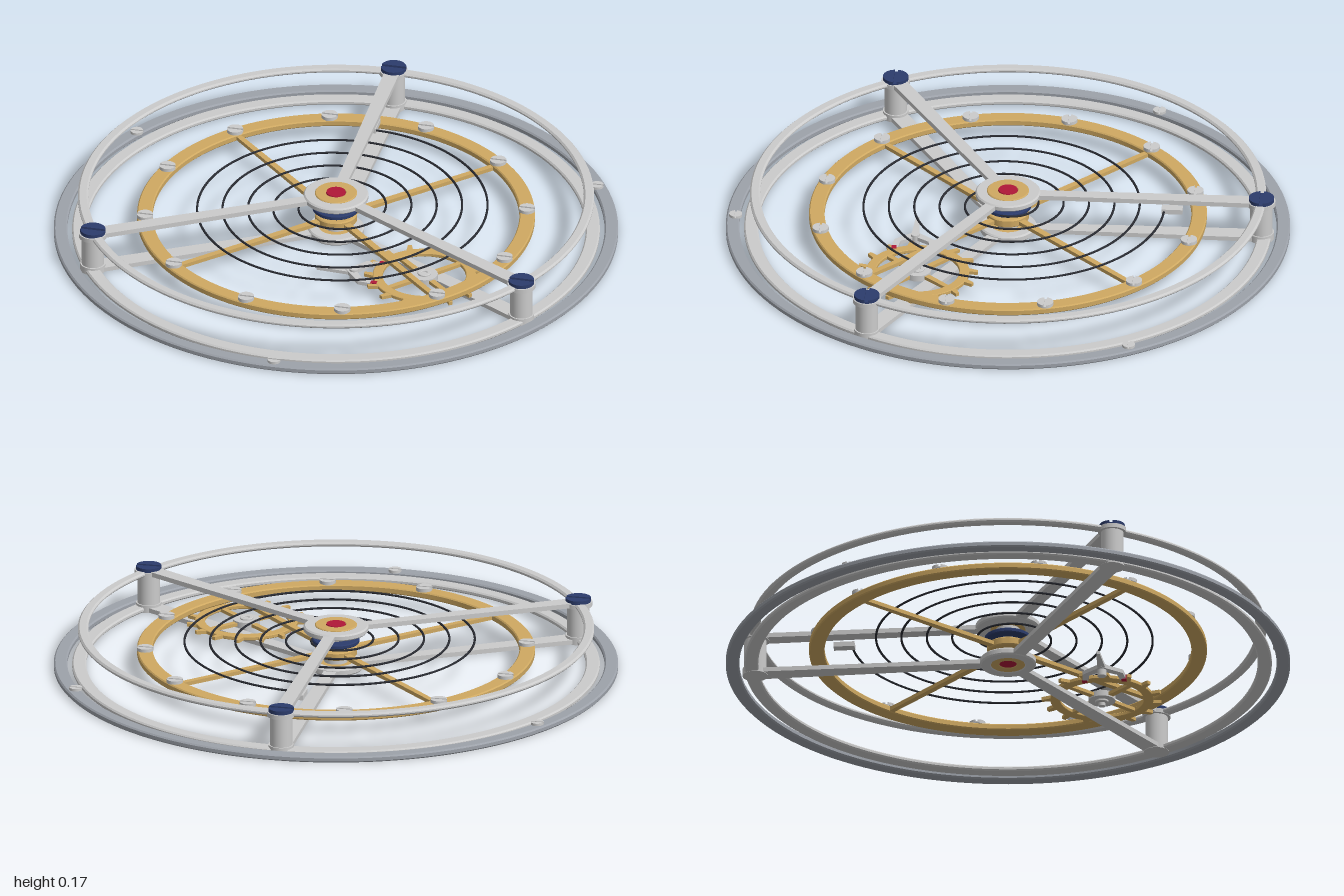
import * as THREE from 'three';
import { toCreasedNormals } from 'three/addons/utils/BufferGeometryUtils.js';

const mat = (color) => new THREE.MeshStandardMaterial({ color });
const STEEL = mat(0xcccccc), SLATE = mat(0x9da2aa), GOLD = mat(0xcfa962),
  BLUE = mat(0x2c3c6c), RUBY = mat(0xb01838), DARK = mat(0x2a2c33);

function add(parent, name, geometry, material, x = 0, y = 0, z = 0) {
  const mesh = new THREE.Mesh(geometry, material);
  mesh.name = name;
  mesh.position.set(x, y, z);
  parent.add(mesh);
  return mesh;
}

function group(parent, name, x = 0, y = 0, z = 0) {
  const g = new THREE.Group();
  g.name = name;
  g.position.set(x, y, z);
  parent.add(g);
  return g;
}

// Bevelled flat ring between two radii and two heights
function ring(ri, ro, y0, y1, b = 0.005, seg = 128) {
  const pts = [[ri, y0 + b], [ri + b, y0], [ro - b, y0], [ro, y0 + b],
    [ro, y1 - b], [ro - b, y1], [ri + b, y1], [ri, y1 - b], [ri, y0 + b]];
  return toCreasedNormals(new THREE.LatheGeometry(pts.map(([r, y]) => new THREE.Vector2(r, y)), seg), 0.5);
}

// Disc or post standing from y0 to y1
function post(r, y0, y1, seg = 32, top = r) {
  return new THREE.CylinderGeometry(top, r, y1 - y0, seg).translate(0, (y0 + y1) / 2, 0);
}

// Flat outline in x, z given thickness from y0 to y1
function plate(shape, y0, y1) {
  return new THREE.ExtrudeGeometry(shape, { depth: y1 - y0, bevelEnabled: false, curveSegments: 16 })
    .rotateX(Math.PI / 2).translate(0, y1, 0);
}

const outline = (points) => new THREE.Shape(points.map(([x, z]) => new THREE.Vector2(x, z)));

// Tapered bar running along +x
const bar = (r0, r1, w0, w1, y0, y1) =>
  plate(outline([[r0, -w0 / 2], [r1, -w1 / 2], [r1, w1 / 2], [r0, w0 / 2]]), y0, y1);

// Slotted screw head: a disc with two raised halves
function screw(parent, name, r, h, material, x, y, z) {
  const g = group(parent, name, x, y, z);
  add(g, 'screwBase', post(r, 0, h * 0.5, 28), material);
  const half = new THREE.Shape();
  half.absarc(0, 0, r, 0.14, Math.PI - 0.14, false);
  for (const a of [0, Math.PI]) add(g, 'screwHalf', plate(half, h * 0.5, h), material).rotation.y = a;
}

export function createModel() {
  const model = new THREE.Group();
  model.name = 'rotatingEscapementCage';

  // Fixed outer ring with three screws
  const outer = group(model, 'outerRing');
  add(outer, 'outerRingBand', ring(0.952, 1, 0, 0.022), SLATE);
  for (let i = 0; i < 3; i++) {
    const a = Math.PI / 2 + i * Math.PI * 2 / 3;
    screw(outer, 'outerRingScrew', 0.023, 0.01, STEEL, 0.967 * Math.cos(a), 0.021, 0.967 * Math.sin(a));
  }

  // Cage: lower and upper rings, arms and pillars
  const cage = group(model, 'cage');
  add(cage, 'lowerCageRing', ring(0.885, 0.935, 0.002, 0.02), STEEL);
  add(cage, 'upperCageRing', ring(0.878, 0.915, 0.137, 0.154, 0.006), STEEL);
  for (let i = 0; i < 3; i++) {
    const a = -Math.PI / 2 + i * Math.PI * 2 / 3;
    const x = 0.9 * Math.cos(a), z = 0.9 * Math.sin(a);
    add(cage, 'lowerArm', bar(0.06, 0.9, 0.045, 0.065, 0.003, 0.019), STEEL).rotation.y = -a;
    add(cage, 'upperArm', bar(0.09, 0.9, 0.04, 0.055, 0.138, 0.155), STEEL).rotation.y = -a;
    add(cage, 'pillar', post(0.04, 0.01, 0.14), STEEL, x, 0, z);
    add(cage, 'pillarFoot', post(0.045, 0.001, 0.028), STEEL, x, 0, z);
    add(cage, 'pillarHead', post(0.05, 0.136, 0.152), STEEL, x, 0, z);
    screw(cage, 'pillarScrew', 0.045, 0.016, BLUE, x, 0.15, z);
  }

  // Upper and lower bearings with jewels
  const bearings = group(model, 'bearings');
  add(bearings, 'upperHub', ring(0.06, 0.115, 0.137, 0.16, 0.005, 64), STEEL);
  add(bearings, 'upperSetting', ring(0.034, 0.075, 0.14, 0.164, 0.003, 48), GOLD);
  add(bearings, 'upperJewel', post(0.04, 0.142, 0.166, 32, 0.034), RUBY);
  add(bearings, 'lowerHub', ring(0.058, 0.1, 0, 0.026, 0.005, 64), STEEL);
  add(bearings, 'lowerSetting', ring(0.03, 0.065, 0.003, 0.024, 0.003, 48), GOLD);
  add(bearings, 'lowerJewel', post(0.033, 0.006, 0.026), RUBY);

  // Balance wheel with staff and rim screws
  const balance = group(model, 'balanceWheel');
  add(balance, 'staff', post(0.042, 0.025, 0.14), STEEL);
  add(balance, 'balanceRim', ring(0.65, 0.705, 0.052, 0.076, 0.004), GOLD);
  add(balance, 'balanceHub', ring(0.03, 0.075, 0.05, 0.08, 0.004, 48), GOLD);
  for (let i = 0; i < 4; i++)
    add(balance, 'balanceSpoke', bar(0.05, 0.66, 0.026, 0.02, 0.056, 0.07), GOLD).rotation.y = Math.PI / 4 + i * Math.PI / 2;
  for (let i = 0; i < 12; i++) {
    const a = (15 + 30 * i) * Math.PI / 180;
    screw(balance, 'balanceScrew', 0.029, 0.013, STEEL, 0.677 * Math.cos(a), 0.075, 0.677 * Math.sin(a));
  }

  // Spiral hairspring with collet and stud
  const spring = group(model, 'hairspring');
  const turns = 5.3, points = [];
  for (let i = 0; i <= 240; i++) {
    const t = turns * i / 240, r = 0.556 - 0.09 * t, a = -Math.PI / 2 + t * Math.PI * 2;
    points.push(new THREE.Vector3(r * Math.cos(a), 0.103, r * Math.sin(a)));
  }
  add(spring, 'springCoil', new THREE.TubeGeometry(new THREE.CatmullRomCurve3(points), 900, 0.0042, 6), DARK);
  add(spring, 'collet', ring(0.035, 0.083, 0.095, 0.111, 0.003, 48), BLUE);
  add(spring, 'springStud', new THREE.BoxGeometry(0.035, 0.018, 0.075), STEEL, 0, 0.104, -0.583);

  // Escape wheel with slanted teeth
  const escape = group(model, 'escapeWheel', 0.39, 0, 0.295);
  add(escape, 'escapeRim', ring(0.148, 0.183, 0.032, 0.046, 0.002, 64), GOLD);
  for (let i = 0; i < 4; i++)
    add(escape, 'escapeSpoke', bar(0.03, 0.155, 0.022, 0.018, 0.033, 0.045), GOLD).rotation.y = -0.75 + i * Math.PI / 2;
  const tooth = outline([[0.176, -0.014], [0.214, 0.004], [0.212, 0.018], [0.176, 0.012]]);
  for (let i = 0; i < 15; i++)
    add(escape, 'escapeTooth', plate(tooth, 0.033, 0.045), GOLD).rotation.y = i * Math.PI * 2 / 15;
  add(escape, 'escapeHub', post(0.048, 0.028, 0.05), STEEL);
  add(escape, 'escapePivot', ring(0.01, 0.024, 0.02, 0.056, 0.002, 24), STEEL);
  add(escape, 'escapeArbor', post(0.012, 0.008, 0.052, 16), STEEL);

  // Pallet fork: lever, two arms and their ruby pallets
  const fork = group(model, 'palletFork', 0.14, 0, 0.32);
  add(fork, 'forkLever', bar(-0.135, 0.01, 0.012, 0.032, 0.032, 0.044), STEEL);
  add(fork, 'forkPivot', post(0.016, 0.008, 0.052, 20), STEEL);
  for (const s of [-1, 1]) {
    const arm = outline([[-0.03, 0], [0.03, s * 0.072], [0.085, s * 0.078],
      [0.085, s * 0.056], [0.042, s * 0.05], [0.008, 0]]);
    add(fork, 'forkArm', plate(arm, 0.031, 0.045), STEEL);
    add(fork, 'palletJewel', new THREE.BoxGeometry(0.022, 0.018, 0.018), RUBY, 0.088, 0.039, s * 0.07);
  }
  return model;
}
